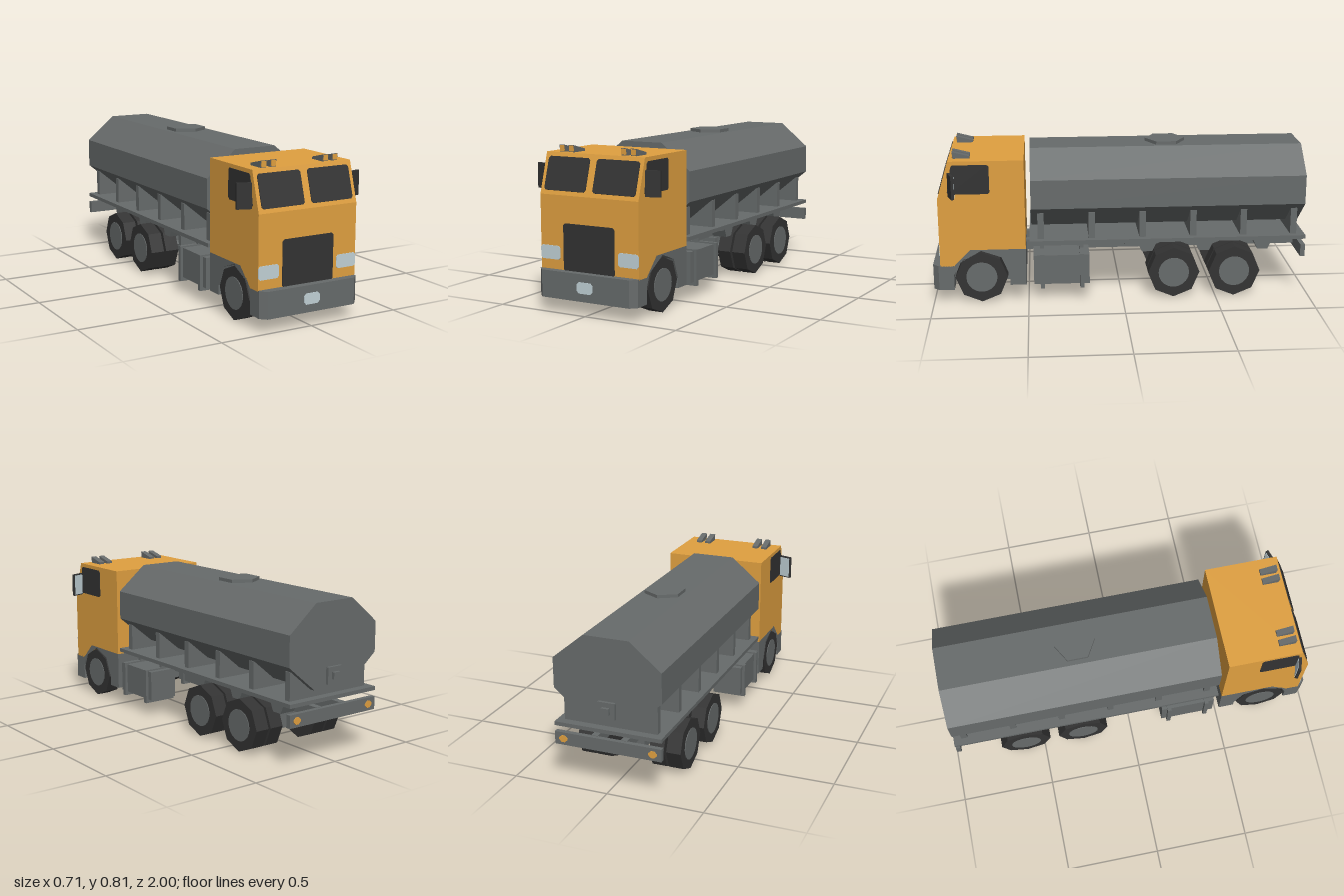
import * as THREE from 'three';

const material = (name, color) => Object.assign(new THREE.MeshStandardMaterial({ color }), { name });

export function createModel() {
  const truck = new THREE.Group();
  truck.name = 'tankerTruck';
  const orange = material('orange paint', 0xe0a040);
  const grey = material('grey metal', 0x676b6b);
  const dark = material('dark glass and rubber', 0x333333);
  const pale = material('pale lamp glass', 0xc2d2d7);

  const add = (name, geometry, mat, parent = truck) => {
    const mesh = new THREE.Mesh(geometry, mat);
    mesh.name = name;
    parent.add(mesh);
    return mesh;
  };
  // Box given by its minimum and maximum on each axis
  const box = (name, mat, x0, x1, y0, y1, z0, z1) => {
    const g = new THREE.BoxGeometry(x1 - x0, y1 - y0, z1 - z0);
    g.translate((x0 + x1) / 2, (y0 + y1) / 2, (z0 + z1) / 2);
    return add(name, g, mat);
  };
  const shapeOf = (pts) => new THREE.Shape(pts.map(([a, b]) => new THREE.Vector2(a, b)));
  const extrude = (pts, depth) =>
    new THREE.ExtrudeGeometry(shapeOf(pts), { depth, bevelEnabled: false });
  // Side profile of [z, y] points, extruded from x0 to x1
  const sideProfile = (name, mat, pts, x0, x1) => {
    const g = extrude(pts, x1 - x0);
    g.rotateY(-Math.PI / 2);
    g.translate(x1, 0, 0);
    return add(name, g, mat);
  };
  const ring = (cz, cy, r, n) => Array.from({ length: n }, (_, i) => {
    const a = (i / n) * Math.PI * 2;
    return [cz + r * Math.cos(a), cy + r * Math.sin(a)];
  });
  // Thin plate with clipped corners, facing +z
  const plate = (name, mat, w, h, c = 0.01) => {
    const a = w / 2, b = h / 2;
    return add(name, extrude([[-a + c, -b], [a - c, -b], [a, -b + c], [a, b - c],
      [a - c, b], [-a + c, b], [-a, b - c], [-a, -b + c]], 0.004), mat);
  };
  // Calls fn for the left (+1) and right (-1) sides; span mirrors an x range
  const bothSides = (fn) => [1, -1].forEach((s) =>
    fn(s, (a, b) => (s > 0 ? [a, b] : [-b, -a])));

  // Cab
  sideProfile('cab', orange, [[0.51, 0.29], [0.80, 0.29], [0.89, 0.2], [0.96, 0.2],
    [0.96, 0.57], [0.90, 0.77], [0.51, 0.77]], -0.28, 0.28);
  sideProfile('cabUnderbody', grey, [[0.51, 0.09], [0.9, 0.09], [0.9, 0.19], [0.80, 0.289],
    [0.51, 0.289]], -0.19, 0.19);
  const slope = Math.atan2(0.06, 0.2);
  plate('grille', dark, 0.292, 0.235).position.set(0, 0.318, 0.959);

  bothSides((s, span) => {
    // Fender with an eight-sided wheel opening
    const arch = ring(0.745, 0.14, 0.15, 8).slice(0, 5).map(([z, y]) => [z, Math.min(y, 0.284)]);
    sideProfile('fender', grey, [[0.51, 0.09], [0.595, 0.09], ...arch.reverse(), [0.895, 0.09],
      [0.9, 0.09], [0.9, 0.2], [0.89, 0.2], [0.80, 0.29], [0.51, 0.29]], ...span(0.19, 0.28));

    // Windows and headlights
    const pane = plate('windscreen', dark, 0.24, 0.167);
    pane.position.set(s * 0.14, 0.67, 0.93);
    pane.rotation.x = -slope;
    sideProfile('sideWindow', dark, [[0.69, 0.605], [0.70, 0.595], [0.90, 0.595], [0.908, 0.605],
      [0.885, 0.74], [0.875, 0.75], [0.70, 0.75], [0.69, 0.74]], ...span(0.279, 0.283));
    plate('headlight', pale, 0.114, 0.068).position.set(s * 0.223, 0.287, 0.959);

    // Mirror, swept backwards, with glass on its rear face
    const mirror = new THREE.Group();
    mirror.name = 'mirror';
    mirror.position.set(s * 0.315, 0.648, 0.885);
    mirror.rotation.y = s * 0.32;
    truck.add(mirror);
    add('mirrorHousing', new THREE.BoxGeometry(0.074, 0.125, 0.016), dark, mirror);
    add('mirrorGlass', new THREE.BoxGeometry(0.064, 0.113, 0.003), pale, mirror).position.z = -0.009;

    // Wedge-shaped roof lamps
    for (const x of [0.15, 0.204]) {
      sideProfile('roofLamp', grey, [[0.79, 0.769], [0.875, 0.769], [0.88, 0.805], [0.79, 0.782]],
        s * x - 0.016, s * x + 0.016);
      plate('roofLampLens', orange, 0.026, 0.028, 0.002).position.set(s * x, 0.788, 0.877);
    }
  });

  // Front bumper, cut back at the corners
  const bumper = extrude([[-0.28, -0.89], [-0.28, -0.97], [-0.25, -1], [0.25, -1],
    [0.28, -0.97], [0.28, -0.89]], 0.135);
  bumper.rotateX(-Math.PI / 2);
  bumper.translate(0, 0.07, 0);
  add('frontBumper', bumper, grey);
  plate('bumperPlate', pale, 0.09, 0.056, 0.012).position.set(0, 0.138, 0.998);

  // Tank
  const half = [[0.117, 0.37], [0.28, 0.505], [0.28, 0.66], [0.117, 0.795]];
  const tank = extrude([...half, ...half.map(([x, y]) => [-x, y]).reverse()], 1.45);
  tank.translate(0, 0, -0.97);
  add('tank', tank, grey);
  const hatch = new THREE.CylinderGeometry(0.107, 0.107, 0.03, 6).toNonIndexed();
  hatch.computeVertexNormals();
  add('tankHatch', hatch, grey).position.set(0, 0.797, -0.247);
  box('valvePlate', grey, -0.045, 0.045, 0.39, 0.475, -0.985, -0.965);
  box('valve', grey, -0.02, 0.02, 0.415, 0.45, -1, -0.98);

  // Deck and tank supports
  box('deck', grey, -0.28, 0.28, 0.31, 0.33, -0.98, 0.49);
  for (let i = 0; i < 6; i++) {
    const z = 0.43 - i * 0.27;
    box('tankSupport', grey, -0.245, 0.245, 0.32, 0.472, z - 0.017, z + 0.017);
  }

  // Chassis
  for (const z of [0.43, 0.225, -0.03]) {
    box('chassisCrossmember', grey, -0.2, 0.2, 0.275, 0.315, z - 0.012, z + 0.012);
  }
  bothSides((s, span) => {
    box('chassisRail', grey, ...span(0.06, 0.095), 0.225, 0.28, -0.96, 0.52);
    for (const z of [-0.14, -0.45, -0.77]) {
      sideProfile('springHanger', grey, [[z - 0.028, 0.225], [z + 0.028, 0.225],
        [z + 0.07, 0.315], [z - 0.07, 0.315]], ...span(0.09, 0.18));
    }
    // Side boxes with two straps
    box('sideBox', grey, ...span(0.12, 0.28), 0.09, 0.25, 0.175, 0.47);
    for (const z of [0.425, 0.215]) {
      box('boxStrap', grey, ...span(0.11, 0.295), 0.07, 0.258, z - 0.011, z + 0.011);
      box('boxHanger', grey, ...span(0.15, 0.19), 0.25, 0.315, z - 0.011, z + 0.011);
    }
    // Rear marker lamps
    const lamp = plate('rearLamp', orange, 0.045, 0.036, 0.014);
    lamp.position.set(s * 0.235, 0.245, -0.979);
    lamp.rotation.y = Math.PI;
  });
  box('rearBumper', grey, -0.28, 0.28, 0.212, 0.278, -0.98, -0.955);

  // Axles and wheels, doubled at the rear
  for (const [z, rear] of [[0.745, false], [-0.275, true], [-0.6, true]]) {
    sideProfile('axle', grey, ring(z, 0.138, 0.028, 8), -0.21, 0.21);
    if (rear) {
      box('axleHousing', grey, -0.05, 0.05, 0.09, 0.19, z - 0.05, z + 0.05);
      box('axleMount', grey, -0.09, 0.09, 0.16, 0.24, z - 0.025, z + 0.025);
    }
    bothSides((s, span) => {
      sideProfile('tyre', dark, ring(z, 0.138, 0.138, 8), ...span(0.203, 0.28));
      sideProfile('wheelRim', grey, ring(z, 0.138, 0.082, 20), ...span(0.278, 0.283));
      if (rear) sideProfile('innerTyre', dark, ring(z, 0.138, 0.138, 8), ...span(0.113, 0.19));
    });
  }
  return truck;
}
